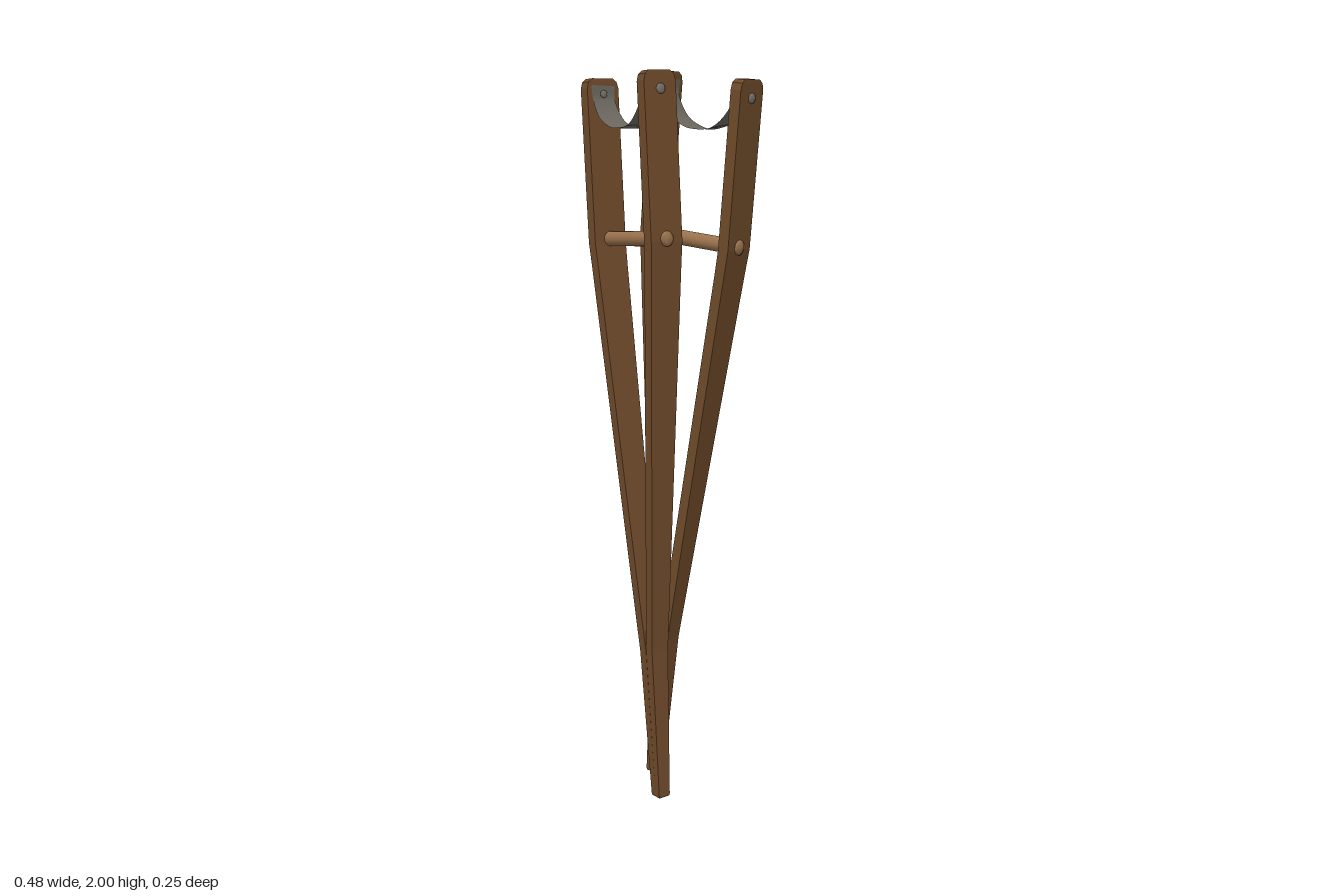
import * as THREE from 'three';

const mat = (name, color, side = THREE.FrontSide) => {
  const m = new THREE.MeshStandardMaterial({ color, side });
  m.name = name;
  return m;
};

// Rail sections from foot to top: height, centre offset, thickness, depth
const SECTIONS = [
  [0, 0.0085, 0.017, 0.033],
  [0.006, 0.009, 0.018, 0.037],
  [0.43, 0.0145, 0.028, 0.054],
  [0.47, 0.0185, 0.028, 0.056],
  [1.5, 0.122, 0.03, 0.097],
  [1.56, 0.128, 0.031, 0.1],
  [1.965, 0.128, 0.031, 0.1],
  [1.982, 0.128, 0.031, 0.09],
  [1.991, 0.128, 0.03, 0.066],
];

function railGeometry(side) {
  const rows = SECTIONS.length - 1;
  const box = new THREE.BoxGeometry(1, 1, 1, 1, rows, 1);
  const p = box.attributes.position;
  for (let i = 0; i < p.count; i++) {
    const [y, centre, thick, depth] = SECTIONS[Math.round((p.getY(i) + 0.5) * rows)];
    p.setXYZ(i, side * centre + p.getX(i) * thick, y, p.getZ(i) * depth);
  }
  const g = box.toNonIndexed();
  g.computeVertexNormals();
  return g;
}

// Cloth strip hanging between the rails, with a tab up each inner face
function slingGeometry() {
  const path = new THREE.CatmullRomCurve3([
    [-0.111, 1.972], [-0.11, 1.935], [-0.08, 1.885], [-0.04, 1.862], [0, 1.855],
    [0.04, 1.862], [0.08, 1.885], [0.11, 1.935], [0.111, 1.972],
  ].map(([x, y]) => new THREE.Vector3(x, y, 0)));
  const g = new THREE.PlaneGeometry(1, 1, 40, 4);
  const p = g.attributes.position;
  for (let i = 0; i < p.count; i++) {
    const u = p.getX(i) + 0.5, v = -p.getY(i);
    const c = path.getPoint(u);
    const wave = 0.0015 * Math.sin(u * 25 + v * 3);
    p.setXYZ(i, c.x, c.y + wave * 0.7, v * 0.072 + wave);
  }
  g.computeVertexNormals();
  return g;
}

// Bar across the crutch with slightly domed ends
function barGeometry(radius, halfLength, dome) {
  const g = new THREE.LatheGeometry([
    [0, -halfLength - dome], [radius * 0.6, -halfLength - dome * 0.75], [radius, -halfLength],
    [radius, halfLength], [radius * 0.6, halfLength + dome * 0.75], [0, halfLength + dome],
  ].map(([x, y]) => new THREE.Vector2(x, y)), 20);
  return g.rotateZ(Math.PI / 2);
}

export function createModel() {
  const wood = mat('dark wood', 0x6e4a2a);
  const grip = mat('light wood', 0x98714c);
  const metal = mat('bolt metal', 0x77706a);
  const cloth = mat('grey cloth', 0x6b675f, THREE.DoubleSide);

  function crutch(name, foot, top, turn) {
    const group = new THREE.Group();
    group.name = name;
    const add = (part, geometry, material) => {
      const m = new THREE.Mesh(geometry, material);
      m.name = part;
      group.add(m);
      return m;
    };
    for (const s of [-1, 1]) {
      add(s > 0 ? 'leftRail' : 'rightRail', railGeometry(s), wood);
      // bolt head outside and sling fastener inside
      add('boltHead', barGeometry(0.013, 0.003, 0.003), metal).position.set(s * 0.144, 1.945, 0);
      add('slingRivet', barGeometry(0.01, 0.002, 0.002), metal).position.set(s * 0.11, 1.95, 0);
    }
    add('handGrip', barGeometry(0.02, 0.146, 0.006), grip).position.y = 1.568;
    add('armSling', slingGeometry(), cloth);

    // lean from foot to top, turned about the crutch's own axis
    const Y = top.clone().sub(foot).normalize();
    const X = new THREE.Vector3(Math.cos(turn), 0, Math.sin(turn));
    X.addScaledVector(Y, -X.dot(Y)).normalize();
    const Z = new THREE.Vector3().crossVectors(X, Y);
    group.quaternion.setFromRotationMatrix(new THREE.Matrix4().makeBasis(X, Y, Z));
    group.position.copy(foot);
    return group;
  }

  const model = new THREE.Group();
  model.name = 'crossedCrutches';
  const V = (x, y, z) => new THREE.Vector3(x, y, z);
  model.add(
    crutch('frontCrutch', V(0.051, 0.001, 0.074), V(-0.094, 1.986, 0.055), 0.13),
    crutch('backCrutch', V(-0.078, 0.001, -0.027), V(0.092, 1.986, -0.052), -0.15),
  );
  return model;
}
